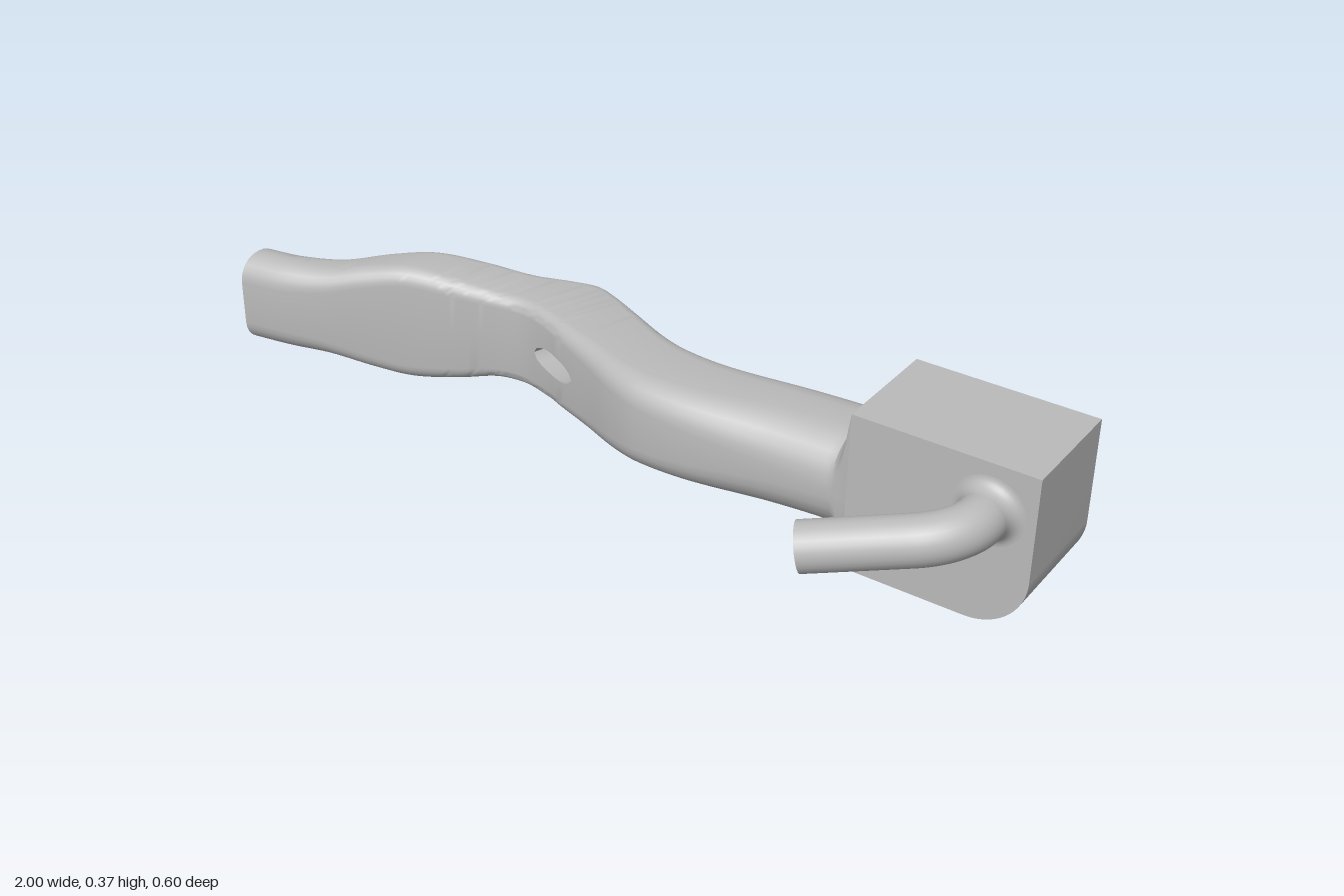
import * as THREE from 'three';
import { toCreasedNormals } from 'three/addons/utils/BufferGeometryUtils.js';

// Bar profile along x: [x, back z, front z, bottom y, top y, corner radius]
const PROFILE = [
  [-1, -0.02, 0.105, 0.055, 0.278, 0.058],
  [-0.9, -0.04, 0.088, 0.055, 0.278, 0.058],
  [-0.8, -0.08, 0.055, 0.053, 0.28, 0.05],
  [-0.7, -0.135, 0.012, 0.032, 0.3, 0.045],
  [-0.61, -0.177, -0.025, 0.021, 0.311, 0.04],
  [-0.5, -0.22, -0.065, 0.035, 0.297, 0.035],
  [-0.4, -0.255, -0.105, 0.054, 0.278, 0.03],
  [-0.33, -0.284, -0.115, 0.055, 0.275, 0.03],
  [-0.25, -0.305, -0.095, 0.055, 0.275, 0.03],
  [-0.2, -0.292, -0.074, 0.055, 0.275, 0.032],
  [-0.1, -0.252, -0.034, 0.055, 0.275, 0.04],
  [0, -0.213, 0.01, 0.055, 0.275, 0.05],
  [0.08, -0.196, 0.033, 0.055, 0.275, 0.058],
  [0.2, -0.197, 0.036, 0.053, 0.275, 0.07],
  [0.4, -0.233, 0.015, 0.053, 0.275, 0.09],
  [0.6, -0.255, 0.003, 0.053, 0.275, 0.1],
];
const BLOCK = [-0.26, 0.01, 0, 0.37, 0.004]; // values the bar flares out to
const FLARE = 0.545, JOIN = 0.59;

// Smooth interpolation of one profile row
function profileAt(x) {
  const n = PROFILE.length;
  let i = 0;
  while (i < n - 2 && x > PROFILE[i + 1][0]) i++;
  const p0 = PROFILE[Math.max(i - 1, 0)], p1 = PROFILE[i], p2 = PROFILE[i + 1], p3 = PROFILE[Math.min(i + 2, n - 1)];
  const w = p2[0] - p1[0], t = (x - p1[0]) / w, t2 = t * t, t3 = t2 * t;
  const f = THREE.MathUtils.clamp((x - FLARE) / (JOIN - FLARE), 0, 1) ** 2;
  return BLOCK.map((end, k) => {
    const c = k + 1;
    const m1 = w * (p2[c] - p0[c]) / (p2[0] - p0[0]), m2 = w * (p3[c] - p1[c]) / (p3[0] - p1[0]);
    const v = (2 * t3 - 3 * t2 + 1) * p1[c] + (t3 - 2 * t2 + t) * m1 + (3 * t2 - 2 * t3) * p2[c] + (t3 - t2) * m2;
    return THREE.MathUtils.lerp(v, end, f);
  });
}

// Half height of the slot through the bar at station t
const slotHalf = t => 0.028 * Math.sqrt(Math.max(0, 1 - ((t + 0.19) / 0.07) ** 2));

function barGeometry() {
  const ARC = 6, STEPS = 159, SLOT_Y = 0.165;
  const positions = [], index = [];
  const FL = ARC + 1, FU = FL + 1, BU = 3 * ARC + 5, BL = BU + 1, RING = 4 * ARC + 8;

  for (let i = 0; i <= STEPS; i++) {
    const t = -1 + (JOIN + 1) * i / STEPS;
    const [zb, zf, y0, y1, radius] = profileAt(t);
    const d = (zf - zb) / 2, h = (y1 - y0) / 2, r = Math.min(radius, d * 0.98);
    const gap = slotHalf(t);
    const lean = 0.035 * Math.exp(-(((t + 0.22) / 0.2) ** 2));
    const put = (depth, y) => {
      const u = depth / d, x = t - lean * u;
      const [b, f] = profileAt(x);
      positions.push(x, y, b + (f - b) * (u + 1) / 2);
    };
    // Rounded corners in order: front bottom, front top, back top, back bottom
    [[1, -1], [1, 1], [-1, 1], [-1, -1]].forEach(([sz, sy], q) => {
      for (let k = 0; k <= ARC; k++) {
        const a = (q - 1 + k / ARC) * Math.PI / 2;
        put(sz * (d - r) + r * Math.cos(a), (y0 + y1) / 2 + sy * (h - r) + r * Math.sin(a));
      }
      if (q === 0) { put(d, SLOT_Y - gap); put(d, SLOT_Y + gap); }
      if (q === 2) { put(-d, SLOT_Y + gap); put(-d, SLOT_Y - gap); }
    });
  }

  const quad = (i, j, k) => {
    const a = i * RING + j, b = a + RING, c = (i + 1) * RING + k, e = i * RING + k;
    index.push(a, b, c, a, c, e);
  };
  for (let i = 0; i < STEPS; i++) {
    for (let j = 0; j < RING; j++) {
      if (j !== FL && j !== BU) quad(i, j, (j + 1) % RING);
    }
    const tA = -1 + (JOIN + 1) * i / STEPS, tB = -1 + (JOIN + 1) * (i + 1) / STEPS;
    if (slotHalf(tA) > 0 || slotHalf(tB) > 0) { // slot floor and ceiling
      quad(i, FL, BL);
      quad(i, BU, FU);
    }
  }
  // Free end cap
  const [zb, zf, y0, y1] = profileAt(-1);
  const centre = positions.length / 3;
  positions.push(-1, (y0 + y1) / 2, (zb + zf) / 2);
  for (let j = 0; j < RING; j++) index.push(centre, j, (j + 1) % RING);

  const g = new THREE.BufferGeometry();
  g.setAttribute('position', new THREE.Float32BufferAttribute(positions, 3));
  g.setIndex(index);
  return toCreasedNormals(g, 0.6);
}

// Block with one rounded lower corner
function blockGeometry() {
  const s = new THREE.Shape();
  const r = 0.13;
  s.moveTo(JOIN, 0);
  s.lineTo(1 - r, 0);
  s.absarc(1 - r, r, r, -Math.PI / 2, 0, false);
  s.lineTo(1, 0.37);
  s.lineTo(JOIN, 0.37);
  s.closePath();
  const g = new THREE.ExtrudeGeometry(s, { depth: 0.27, bevelEnabled: false, curveSegments: 16 });
  g.translate(0, 0, -0.26);
  return toCreasedNormals(g, 0.6);
}

export function createModel() {
  const model = new THREE.Group();
  model.name = 'bentLever';
  const metal = new THREE.MeshStandardMaterial({ color: 0xbababa });
  metal.name = 'plain grey';
  const add = (name, geometry) => {
    const mesh = new THREE.Mesh(geometry, metal);
    mesh.name = name;
    model.add(mesh);
    return mesh;
  };

  add('wavyBar', barGeometry());
  add('endBlock', blockGeometry());

  // Bent peg on the front of the block
  const R = 0.053;
  const end = new THREE.Vector3(0.62, 0.2, 0.248);
  const bendEnd = new THREE.Vector3(0.815, 0.243, 0.16);
  const path = new THREE.CurvePath();
  const start = new THREE.Vector3(0.9, 0.262, 0);
  const bendStart = new THREE.Vector3(0.9, 0.262, 0.045);
  path.add(new THREE.LineCurve3(start, bendStart));
  path.add(new THREE.CubicBezierCurve3(bendStart, new THREE.Vector3(0.9, 0.262, 0.095),
    new THREE.Vector3(0.866, 0.254, 0.137), bendEnd));
  path.add(new THREE.LineCurve3(bendEnd, end));
  add('peg', new THREE.TubeGeometry(path, 48, R, 28, false));

  const cap = add('pegEnd', new THREE.CircleGeometry(R, 28));
  cap.position.copy(end);
  cap.lookAt(end.clone().multiplyScalar(2).sub(bendEnd));

  // Fillet where the peg meets the block
  const fillet = [];
  for (let k = 0; k <= 8; k++) {
    const a = k / 8 * Math.PI / 2;
    fillet.push(new THREE.Vector2(R + 0.026 * (1 - Math.sin(a)), 0.01 + 0.03 * (1 - Math.cos(a))));
  }
  const collar = add('pegFillet', new THREE.LatheGeometry(fillet, 32));
  collar.rotation.x = Math.PI / 2;
  collar.position.set(0.9, 0.262, 0);
  return model;
}
